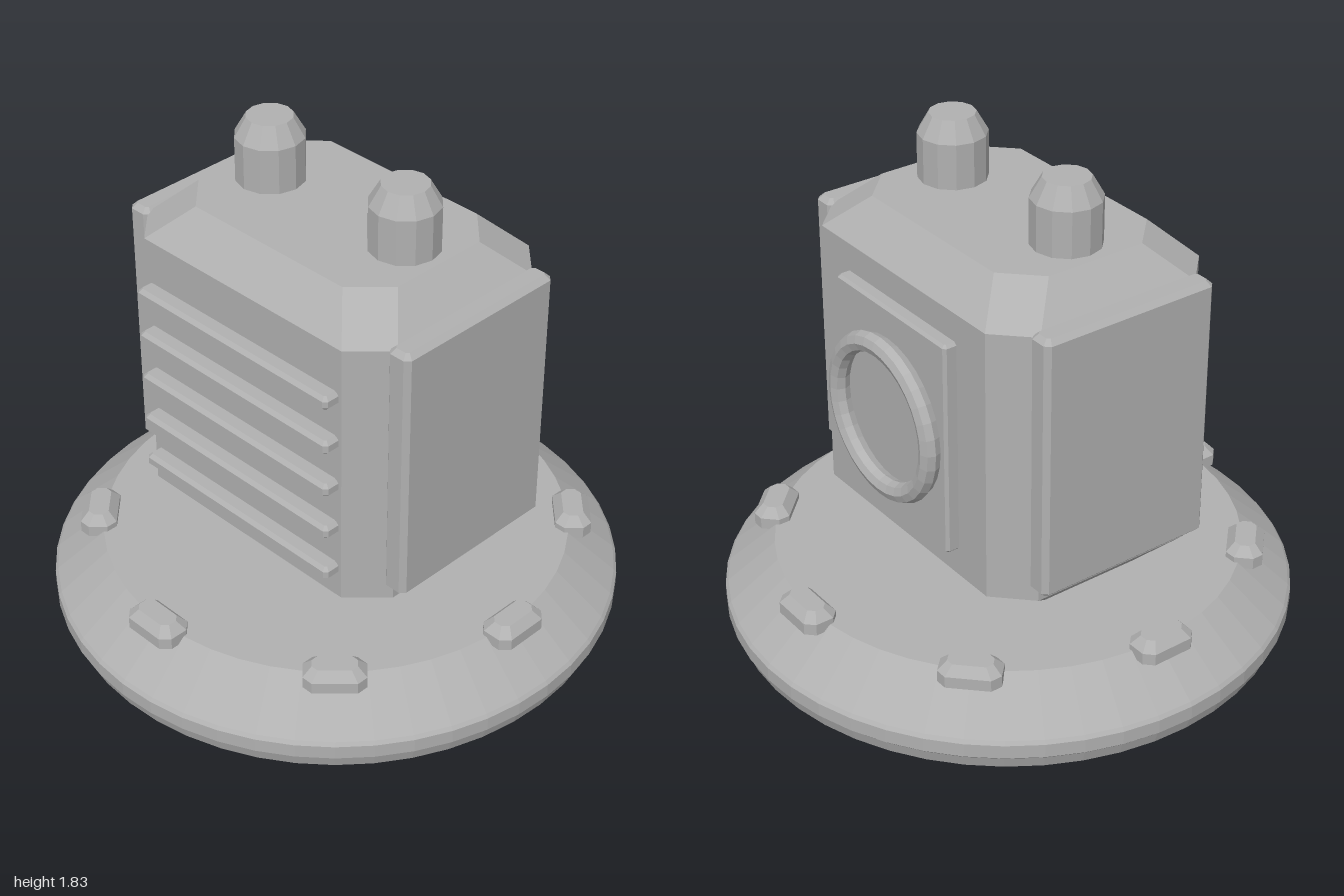
import * as THREE from 'three';
import { ConvexGeometry } from 'three/addons/geometries/ConvexGeometry.js';

// Solid made of stacked chamfered rectangles: [y, halfWidth, halfDepth, cornerCut]
function chamferedSolid(layers) {
  const pts = [];
  for (const [y, w, d, c] of layers)
    for (const sx of [-1, 1])
      for (const sz of [-1, 1]) {
        pts.push(new THREE.Vector3(sx * w, y, sz * (d - c)));
        pts.push(new THREE.Vector3(sx * (w - c), y, sz * d));
      }
  return new ConvexGeometry(pts);
}

// Box with every edge bevelled by b
function bevelBox(w, h, d, b) {
  const x = w / 2, y = h / 2, z = d / 2;
  return chamferedSolid([
    [-y, x - b, z - b, b * 0.5], [-y + b, x, z, b],
    [y - b, x, z, b], [y, x - b, z - b, b * 0.5],
  ]);
}

export function createModel() {
  const model = new THREE.Group();
  const grey = new THREE.MeshStandardMaterial({ color: 0xb0b0b0, flatShading: true });
  grey.name = 'plain grey';

  const add = (name, geometry, x = 0, y = 0, z = 0) => {
    const mesh = new THREE.Mesh(geometry, grey);
    mesh.name = name;
    mesh.position.set(x, y, z);
    model.add(mesh);
    return mesh;
  };

  // Round base with a raised band around the rim
  const profile = [
    [0, 0], [0.82, 0], [0.975, 0.085], [0.99, 0.13], [1, 0.14],
    [1, 0.19], [0.99, 0.203], [0.82, 0.35], [0, 0.35],
  ].map(([r, y]) => new THREE.Vector2(r, y));
  add('base', new THREE.LatheGeometry(profile, 48));

  // Studs around the top of the base
  const stud = chamferedSolid([
    [0.328, 0.105, 0.063, 0.03], [0.37, 0.105, 0.063, 0.03], [0.402, 0.075, 0.035, 0.02],
  ]);
  for (let i = 0; i < 8; i++) {
    const a = (i * Math.PI) / 4;
    add('stud', stud, Math.sin(a) * 0.833, 0, Math.cos(a) * 0.833).rotation.y = a;
  }

  // Chamfered main body hovering just over the base
  add('body', chamferedSolid([
    [0.38, 0.455, 0.305, 0.12], [0.5, 0.575, 0.428, 0.12],
    [1.48, 0.575, 0.428, 0.12], [1.6, 0.455, 0.305, 0.12],
  ]));

  // Side panels and roof stacks, mirrored
  const panel = bevelBox(0.092, 0.95, 0.67, 0.018);
  const stack = new THREE.LatheGeometry(
    [[0, 1.58], [0.12, 1.58], [0.12, 1.76], [0.08, 1.83], [0, 1.83]]
      .map(([r, y]) => new THREE.Vector2(r, y)), 12);
  for (const s of [1, -1]) {
    add('sidePanel', panel, s * 0.597, 1.025, 0);
    add('stack', stack, s * 0.305, 0, 0);
  }

  // Horizontal ribs on the front
  const rib = bevelBox(0.885, 0.05, 0.075, 0.013);
  for (let i = 0; i < 5; i++) add('frontRib', rib, 0, 0.615 + i * 0.17, 0.448);

  // Back plate with a round port ring
  add('backPlate', bevelBox(0.61, 0.78, 0.07, 0.01), 0, 0.99, -0.44);
  add('portRing', new THREE.TorusGeometry(0.262, 0.036, 8, 32), 0, 0.99, -0.508);

  return model;
}
